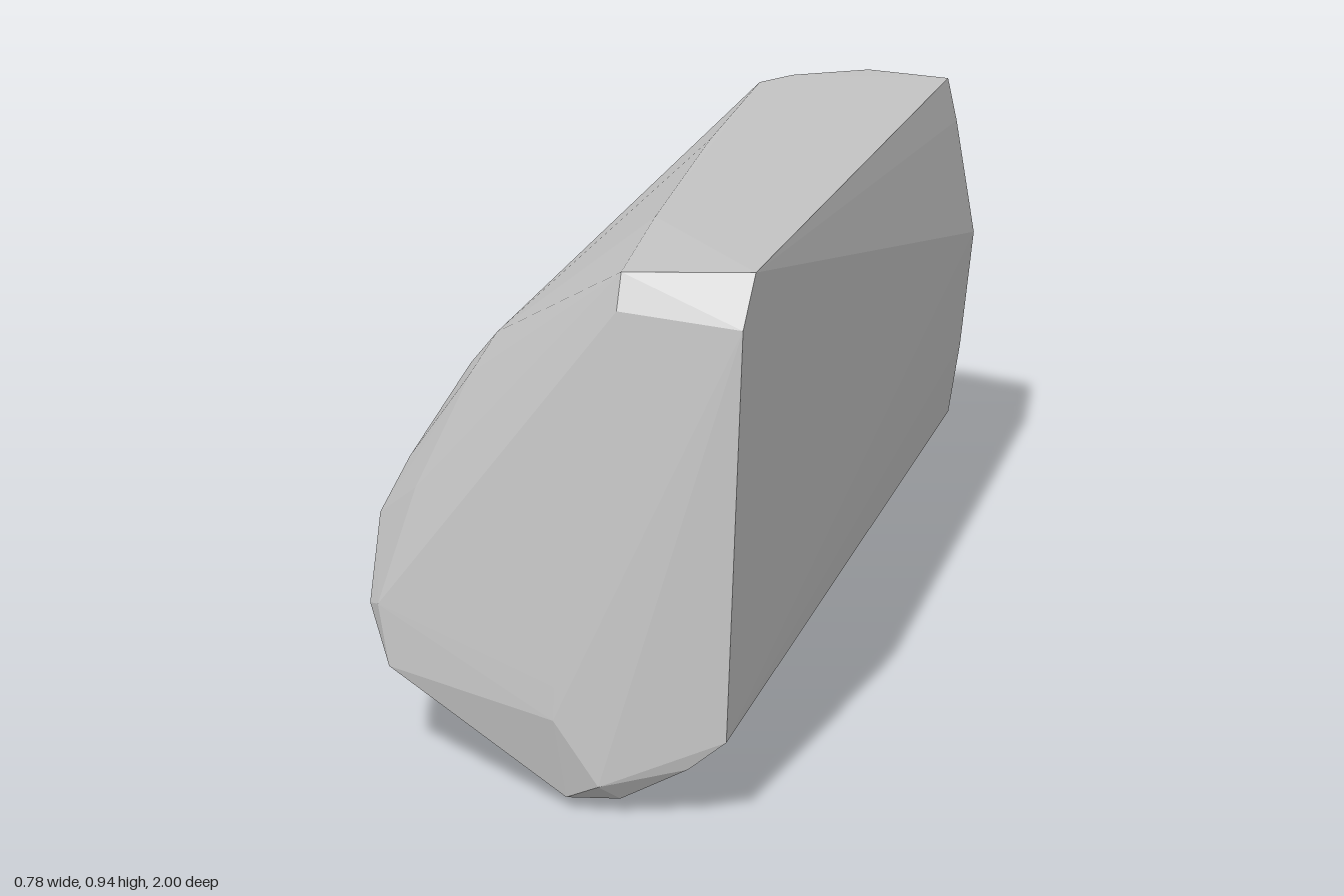
import * as THREE from 'three';
import { ConvexGeometry } from 'three/addons/geometries/ConvexGeometry.js';

const corners = (rows) => rows.map(([x, y, z]) => new THREE.Vector3(x, y, z));

export function createModel() {
  const group = new THREE.Group();
  group.name = 'rock';
  const stone = new THREE.MeshStandardMaterial({ color: 0xc4c4c4, flatShading: true });
  stone.name = 'stone grey';

  // flat left face
  const flatSide = corners([
    [0.344, 0.942, 0.91], [0.337, 0.86, 0.967], [0.315, 0.155, 0.98],
    [0.342, 0.155, -0.91], [0.325, 0.89, -0.91], [0.345, 0.8, -0.912],
    [0.388, 0.56, -0.91], [0.359, 0.3, -0.94], [0.328, 0.14, -0.925],
  ]);
  // top edge, front to back
  const top = corners([
    [0.12, 0.928, 0.91], [0.12, 0.87, 0.94], [0.08, 0.93, 0.55],
    [0, 0.907, -0.15], [-0.05, 0.89, -0.77],
  ]);
  // chipped back end
  const back = corners([
    [0, 0.89, -0.86], [0.14, 0.885, -0.98], [0.155, 0.4, -1],
    [0.14, 0.25, -0.99], [0.155, 0.06, -0.975],
  ]);
  // rounded right shoulder near the front
  const shoulder = corners([
    [-0.18, 0.73, 0.64], [-0.2, 0.68, 0.73], [-0.235, 0.665, 0.62],
    [-0.34, 0.5, 0.61], [-0.335, 0.5, 0.67], [-0.29, 0.48, 0.77],
    [-0.385, 0.4, 0.61], [-0.385, 0.4, 0.69], [-0.39, 0.3, 0.7],
    [-0.37, 0.27, 0.795], [-0.37, 0.245, 0.74], [-0.345, 0.28, 0.825],
    [-0.32, 0.175, 0.845], [-0.3, 0.15, 0.77], [-0.245, 0.105, 0.74],
    [-0.18, 0.065, 0.72],
  ]);
  // front foot and keel
  const base = corners([
    [0.02, 0.225, 0.985], [0.02, 0.168, 0.992], [0.1, 0.06, 1],
    [0.035, 0.022, 0.97], [0.13, 0.03, 0.97], [0.25, 0.1, 0.98],
    [0.08, 0, 0.72], [0.08, 0, -0.45],
  ]);

  const rock = new THREE.Mesh(
    new ConvexGeometry([...flatSide, ...top, ...back, ...shoulder, ...base]), stone);
  rock.name = 'rockBody';
  group.add(rock);
  return group;
}
